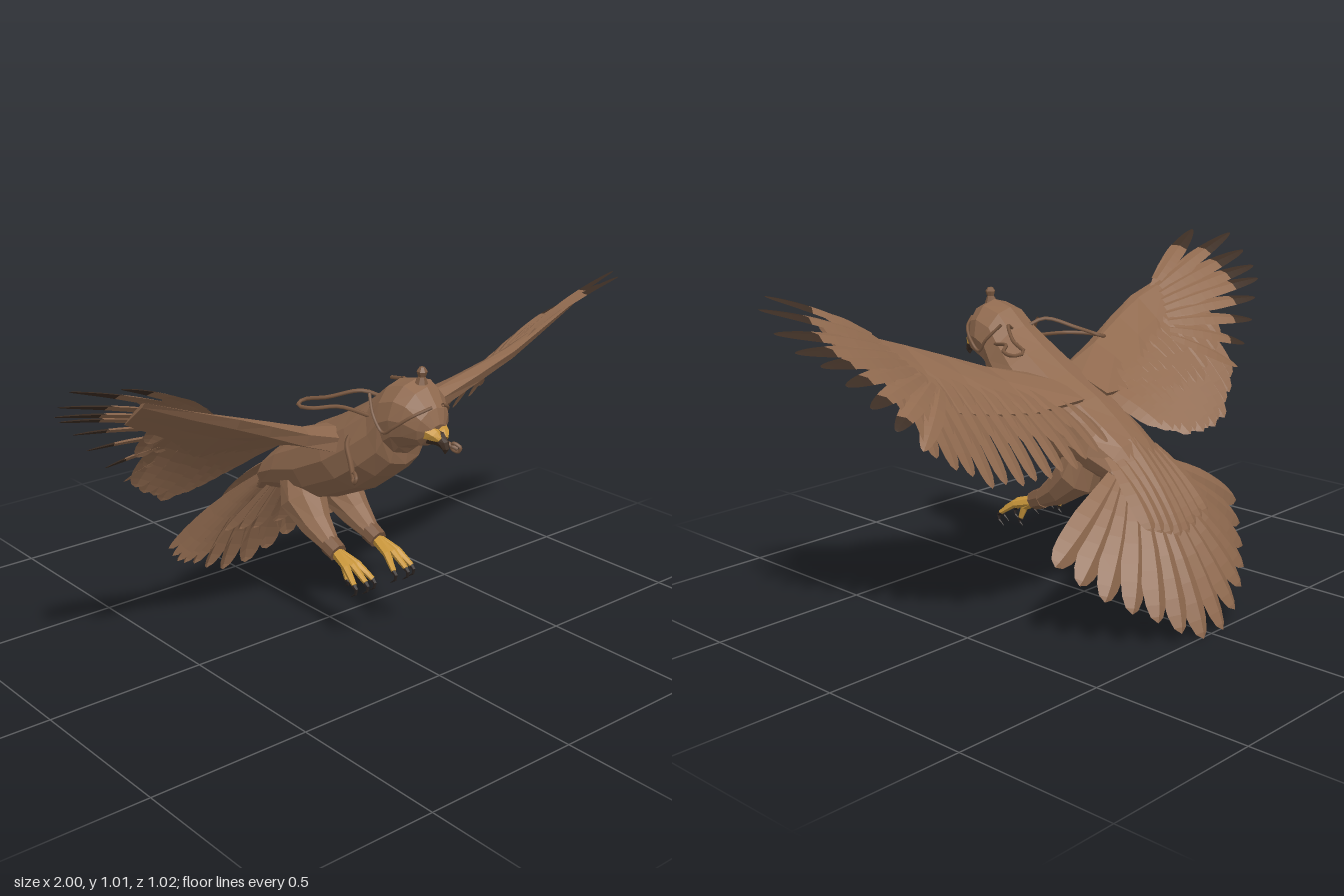
import * as THREE from 'three';
import { mergeGeometries } from 'three/addons/utils/BufferGeometryUtils.js';

const V = (x, y, z) => new THREE.Vector3(x, y, z);
const flip = (p, s) => V(p.x * s, p.y, p.z);
const mat = (name, color) => {
  const m = new THREE.MeshStandardMaterial({ color, side: THREE.DoubleSide });
  m.name = name;
  return m;
};

// Closed, faceted skin over a list of equal-length rings, wound outwards
function loft(rings) {
  const n = rings[0].length, pos = [], idx = [];
  rings.forEach(r => r.forEach(p => pos.push(p.x, p.y, p.z)));
  for (let i = 0; i < rings.length - 1; i++) for (let j = 0; j < n; j++) {
    const a = i * n + j, b = i * n + (j + 1) % n;
    idx.push(a, b, a + n, b, b + n, a + n);
  }
  const last = (rings.length - 1) * n;
  for (let j = 1; j < n - 1; j++) idx.push(0, j + 1, j, last, last + j, last + j + 1);
  const P = i => V(pos[i * 3], pos[i * 3 + 1], pos[i * 3 + 2]);
  let volume = 0;
  for (let i = 0; i < idx.length; i += 3) volume += P(idx[i]).dot(P(idx[i + 1]).cross(P(idx[i + 2])));
  if (volume < 0) idx.reverse();
  return faceted(pos, idx);
}

function faceted(pos, idx) {
  const g = new THREE.BufferGeometry();
  g.setAttribute('position', new THREE.Float32BufferAttribute(pos, 3));
  g.setIndex(idx);
  const flat = g.toNonIndexed();
  flat.computeVertexNormals();
  return flat;
}

// Round limb through points with one radius per point
function limb(pts, radii, sides = 7) {
  return loft(pts.map((p, i) => {
    const d = pts[Math.min(i + 1, pts.length - 1)].clone().sub(pts[Math.max(i - 1, 0)]).normalize();
    const u = V(0.97, 0.1, 0.2).cross(d).normalize(), v = d.clone().cross(u);
    return Array.from({ length: sides }, (_, k) => {
      const a = k / sides * Math.PI * 2;
      return p.clone().addScaledVector(u, Math.cos(a) * radii[i]).addScaledVector(v, Math.sin(a) * radii[i]);
    });
  }));
}

function strap(pts, r, closed = false) {
  const g = new THREE.TubeGeometry(new THREE.CatmullRomCurve3(pts, closed), 24, r, 5, closed).toNonIndexed();
  g.deleteAttribute('uv');
  return g;
}

// Thin bowed blade with a raised quill line, the portion from t0 to t1 of its length;
// a high point value rounds the tip
function feather(base, tip, width, up, { t0 = 0, t1 = 1, bow = 0, point = 6, tilt = 0, ridge = 0.06 } = {}) {
  const dir = tip.clone().sub(base).normalize();
  const side = dir.clone().cross(up).normalize().addScaledVector(up, tilt);
  const pos = [], idx = [], rows = 8;
  for (let i = 0; i <= rows; i++) {
    const t = t0 + (t1 - t0) * (1 - (1 - i / rows) ** 1.6);
    const w = width / 2 * Math.min(1, 0.5 + t) * Math.pow(Math.max(0, 1 - t ** point), 0.6) + 0.001;
    const c = base.clone().lerp(tip, t).addScaledVector(up, bow * 4 * t * (1 - t));
    for (const e of [-1, 0, 1])
      pos.push(...c.clone().addScaledVector(side, e * w).addScaledVector(up, (0.5 - Math.abs(e)) * ridge * w * 2).toArray());
    if (i < rows) for (const a of [3 * i, 3 * i + 1]) idx.push(a, a + 1, a + 3, a + 1, a + 4, a + 3);
  }
  // face the blade along its upper side
  const [A, B, C] = [0, 6, 9].map(k => V(...pos.slice(k, k + 3)));
  if (B.sub(A).cross(C.sub(A)).dot(up) < 0) idx.reverse();
  return faceted(pos, idx);
}

// Wing stations: x, leading edge y z, trailing edge y z, thickness above, below, camber
const STATIONS = [
  [0.06, 0.655, 0.18, 0.57, -0.20, 0.035, 0.055, 0.025], [0.25, 0.72, 0.215, 0.50, -0.20, 0.026, 0.034, 0.028],
  [0.40, 0.785, 0.245, 0.48, -0.17, 0.022, 0.024, 0.028], [0.52, 0.835, 0.262, 0.49, -0.13, 0.018, 0.018, 0.025],
  [0.65, 0.88, 0.25, 0.58, -0.06, 0.013, 0.012, 0.018], [0.80, 0.935, 0.24, 0.72, 0.0, 0.006, 0.005, 0.006],
];
const WING_UP = V(-0.28, 0.78, -0.55).normalize();
const TAIL_UP = V(0, 0.52, -0.85).normalize();

// Point on the cambered wing at span x and fraction f of the chord
function chord(x, f) {
  let i = 0;
  while (i < STATIONS.length - 2 && x > STATIONS[i + 1][0]) i++;
  const a = STATIONS[i], b = STATIONS[i + 1], k = (x - a[0]) / (b[0] - a[0]);
  const m = j => a[j] + (b[j] - a[j]) * k;
  return V(x, m(1) + (m(3) - m(1)) * f, m(2) + (m(4) - m(2)) * f)
    .addScaledVector(WING_UP, m(7) * 4 * f * Math.max(0, 1 - f));
}

export function createModel() {
  const model = new THREE.Group();
  const plumage = mat('plumage brown', 0x906a4f), dark = mat('dark brown', 0x3c2d23);
  const leather = mat('leather', 0x7c5a42), yellow = mat('yellow skin', 0xcb983c), horn = mat('black horn', 0x2b2422);
  const add = (name, geos, material) => {
    const m = new THREE.Mesh(mergeGeometries([geos].flat()), material);
    m.name = name;
    model.add(m);
  };

  // Head and body: top z y, bottom z y, half width
  const rings = [
    [0.474, 0.765, 0.455, 0.72, 0.03], [0.46, 0.81, 0.43, 0.692, 0.06], [0.42, 0.86, 0.39, 0.68, 0.086],
    [0.38, 0.877, 0.36, 0.665, 0.1], [0.31, 0.86, 0.345, 0.645, 0.102], [0.25, 0.81, 0.34, 0.61, 0.11],
    [0.17, 0.755, 0.29, 0.56, 0.132], [0.06, 0.69, 0.21, 0.50, 0.145], [-0.05, 0.635, 0.04, 0.42, 0.14],
    [-0.13, 0.58, -0.12, 0.40, 0.13], [-0.2, 0.525, -0.22, 0.38, 0.115], [-0.3, 0.41, -0.26, 0.36, 0.08],
  ];
  add('body', loft(rings.map(([tz, ty, bz, by, w]) => Array.from({ length: 12 }, (_, k) => {
    const a = k / 12 * Math.PI * 2, f = (1 - Math.cos(a)) / 2;
    return V(Math.sin(a) * w, ty + (by - ty) * f, tz + (bz - tz) * f);
  }))), plumage);

  // Hooked beak
  add('beak', limb([V(0, 0.727, 0.445), V(0, 0.723, 0.478), V(0, 0.712, 0.493), V(0, 0.7, 0.499), V(0, 0.686, 0.497)],
    [0.03, 0.021, 0.015, 0.011, 0.002]), dark);

  // Hood knob
  add('hoodKnob', limb([V(0, 0.865, 0.395), V(0, 0.885, 0.397), V(0, 0.9, 0.398), V(0, 0.912, 0.398)],
    [0.02, 0.011, 0.016, 0.008]), leather);

  const primaryTips = [
    [0.91, 1.012, 0.315], [1, 1, 0.22], [1, 0.945, 0.16], [0.98, 0.90, 0.10], [0.94, 0.865, 0.05],
    [0.885, 0.81, 0.02], [0.83, 0.745, -0.01], [0.765, 0.675, -0.03], [0.695, 0.61, -0.055],
  ];
  const tailTips = [
    [0.046, 0, -0.508], [0.125, 0.035, -0.49], [0.195, 0.08, -0.46], [0.26, 0.115, -0.42],
    [0.32, 0.155, -0.37], [0.37, 0.205, -0.32], [0.415, 0.26, -0.27],
  ];

  for (const s of [1, -1]) {
    const side = s > 0 ? 'left' : 'right';
    const P = (x, y, z) => V(x * s, y, z);
    const up = flip(WING_UP, s);

    // Cere on the side of the beak
    add(side + 'Cere', limb([P(0.02, 0.742, 0.448), P(0.015, 0.735, 0.474), P(0.01, 0.725, 0.487)], [0.025, 0.018, 0.009], 6), yellow);

    // Wing arm with a rounded leading edge
    add(side + 'WingArm', loft(STATIONS.map(st => {
      const back = st[0] > 0.6 ? 0.42 : 0.55;
      return [[0, 0], [0.06, 1], [0.25, 0.9], [back, 0.25], [back, -0.1], [0.25, -0.6], [0.06, -1]].map(([f, h]) =>
        flip(chord(st[0], f).addScaledVector(WING_UP, h * (h > 0 ? st[5] : st[6])), s));
    })), plumage);

    // Secondaries and two rows of coverts
    const secondaries = [], coverts = [];
    for (let i = 0; i < 13; i++) {
      const x = 0.11 + i * 0.044;
      secondaries.push(feather(flip(chord(x - 0.01, 0.3), s), flip(chord(x + 0.015, 1 + 0.02 * (i % 2)), s), 0.078, up,
        { tilt: 0.1 * s, bow: 0.016, point: 9 }));
    }
    for (let i = 0; i < 13; i++) {
      const x = 0.16 + i * 0.042;
      for (const [f0, f1, h] of [[0.2, 0.76, 0.014], [0.15, 0.58, 0.014]])
        coverts.push(feather(flip(chord(x, f0).addScaledVector(WING_UP, 0.004), s),
          flip(chord(x + 0.03, f1 + 0.025 * (i % 3)).addScaledVector(WING_UP, h * 0.5), s), 0.07, up, { tilt: 0.04 * s, bow: h }));
    }
    add(side + 'Secondaries', secondaries, plumage);
    add(side + 'WingCoverts', coverts, plumage);

    // Primaries; all but the innermost have dark tips
    const vanes = [], tips = [];
    primaryTips.forEach((t, i) => {
      const k = i / (primaryTips.length - 1);
      const base = flip(V(0.62, 0.88, 0.235).lerp(V(0.51, 0.725, 0.08), k), s);
      const split = i === 8 ? 1 : 0.6 + 0.22 * k;
      const opt = { point: i < 2 ? 2.2 : 3, tilt: -0.22 * s, bow: 0.012, ridge: 0.15 };
      vanes.push(feather(base, P(...t), 0.068, up, { ...opt, t1: split }));
      if (split < 1) tips.push(feather(base, P(...t), 0.068, up, { ...opt, t0: split }));
    });
    add(side + 'Primaries', vanes, plumage);
    add(side + 'PrimaryTips', tips, dark);

    // Hand coverts
    add(side + 'HandCoverts', primaryTips.slice(0, 8).map((t, i) => {
      const base = chord(0.6 - i * 0.01, 0.06 + i * 0.04).addScaledVector(WING_UP, 0.008);
      return feather(flip(base, s), flip(base.clone().lerp(V(...t), 0.53).addScaledVector(WING_UP, 0.012), s), 0.06, up, { bow: 0.006 });
    }), plumage);

    // Tail fan, and the coverts over and under its root
    add(side + 'TailFeathers', tailTips.map((t, i) =>
      feather(P(0.012 + i * 0.013, 0.43 + i * 0.003, -0.25 + i * 0.006), P(...t), 0.088, TAIL_UP,
        { bow: 0.022 - i * 0.001, tilt: -0.1 * s, point: 9, ridge: 0.22 })), plumage);
    add(side + 'TailCoverts', [0, 1, 2, 3].map(i =>
      feather(P(0.01 + i * 0.029, 0.53 - i * 0.012, -0.19), P(0.02 + i * 0.036, 0.28 + i * 0.012, -0.395 + i * 0.006), 0.07, TAIL_UP,
        { bow: 0.014, tilt: -0.1 * s, point: 9, ridge: 0.15 })), plumage);
    add(side + 'UnderTailCoverts', [0, 1, 2].map(i =>
      feather(P(0.02 + i * 0.025, 0.40, -0.215), P(0.05 + i * 0.075, 0.21 + i * 0.025, -0.325 + i * 0.025), 0.075, TAIL_UP,
        { tilt: -0.1 * s, point: 9, ridge: 0.2 })), plumage);

    // Leg and ankle cuff
    add(side + 'Leg', limb([P(0.068, 0.47, -0.065), P(0.07, 0.405, -0.04), P(0.078, 0.345, 0.03), P(0.08, 0.3, 0.105)],
      [0.06, 0.073, 0.05, 0.028], 9), plumage);
    add(side + 'Cuff', limb([P(0.08, 0.305, 0.095), P(0.08, 0.288, 0.136)], [0.033, 0.03], 8), leather);

    // Foot: three toes forward, one behind, with slim hooked claws
    const toes = [], claws = [];
    for (const [dx, x, y, z, c] of [[-0.022, 0.042, 0.232, 0.25, 1], [0, 0.08, 0.236, 0.262, 1], [0.022, 0.114, 0.232, 0.25, 1], [0.006, 0.088, 0.222, 0.187, 0.6]]) {
      toes.push(limb([P(0.08, 0.287, 0.13), P(0.08 + dx, 0.1 + y * 0.72, z * 0.45 + 0.088), P(x, y, z)], [0.019, 0.012, 0.008], 6));
      claws.push(limb([P(x, y, z - 0.004), P(x, y - 0.01 * c, z + 0.01 * c), P(x, y - 0.026 * c, z + 0.007 * c), P(x, y - 0.042 * c, z - 0.014 * c)],
        [0.008, 0.006, 0.004, 0.001], 5));
    }
    add(side + 'Toes', toes, yellow);
    add(side + 'Claws', claws, horn);

    // Hood seam, looped thongs and the lower strap
    add(side + 'HoodStraps', [
      strap([P(0.02, 0.815, 0.462), P(0.07, 0.79, 0.432), P(0.094, 0.755, 0.39), P(0.1, 0.73, 0.35), P(0.104, 0.77, 0.315), P(0.08, 0.82, 0.27)], 0.005),
      strap([P(0.03, 0.80, 0.27), P(0.08, 0.822, 0.24), P(0.14, 0.795, 0.16), P(0.17, 0.775, 0.085),
        P(0.2, 0.768, 0.1), P(0.19, 0.77, 0.15), P(0.13, 0.775, 0.2), P(0.09, 0.76, 0.29)], 0.006),
      strap([P(0.1, 0.70, 0.22), P(0.135, 0.675, 0.24), P(0.165, 0.64, 0.29), P(0.2, 0.612, 0.345)], 0.008),
      strap([P(0.19, 0.628, 0.335), P(0.2, 0.618, 0.355), P(0.2, 0.604, 0.348), P(0.192, 0.61, 0.33)], 0.006, true),
    ], leather);
  }
  return model;
}
